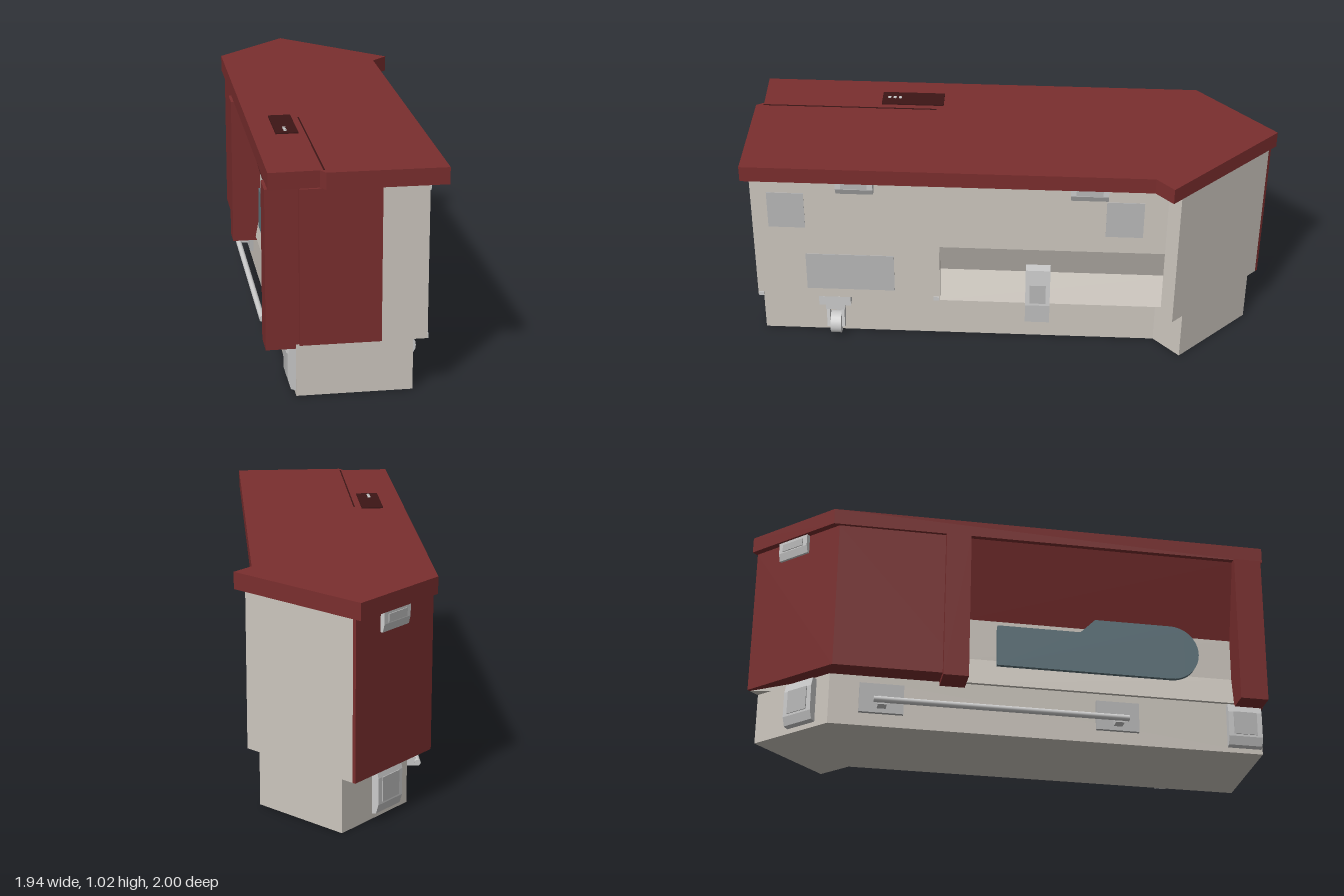
import * as THREE from 'three';

const mat = (color) => new THREE.MeshStandardMaterial({ color, side: THREE.DoubleSide });

export function createModel() {
  const model = new THREE.Group();
  const grey = mat(0xcccccc), wall = mat(0xccc6be), red = mat(0x7a2e2e);
  const darkRed = mat(0x3c1616), glass = mat(0x5f747c), white = mat(0xeeeeee), panelGrey = mat(0xb8b8b8);

  // The long run of the counter lies at 45 degrees: local x runs along it, local z faces its front.
  const run = new THREE.Group();
  run.name = 'counterRun';
  run.rotation.y = Math.PI / 4;
  model.add(run);

  const add = (parent, name, geometry, material) => {
    const mesh = new THREE.Mesh(geometry, material);
    mesh.name = name;
    parent.add(mesh);
    return mesh;
  };
  // Upright prism from a plan outline of [x, z] points
  const prism = (parent, name, plan, y0, y1, material) => {
    const shape = new THREE.Shape(plan.map(([x, z]) => new THREE.Vector2(x, -z)));
    const g = new THREE.ExtrudeGeometry(shape, { depth: y1 - y0, bevelEnabled: false });
    g.rotateX(-Math.PI / 2).translate(0, y0, 0);
    return add(parent, name, g, material);
  };
  // Cross-section of [z, y] points swept along the run from x0 to x1
  const section = (parent, name, profile, x0, x1, material) => {
    const shape = new THREE.Shape(profile.map(([z, y]) => new THREE.Vector2(-z, y)));
    const g = new THREE.ExtrudeGeometry(shape, { depth: x1 - x0, bevelEnabled: false });
    g.rotateY(Math.PI / 2).translate(x0, 0, 0);
    return add(parent, name, g, material);
  };
  // Box given by its limits
  const box = (parent, name, [x0, x1], [y0, y1], [z0, z1], material) => {
    const g = new THREE.BoxGeometry(x1 - x0, y1 - y0, z1 - z0);
    g.translate((x0 + x1) / 2, (y0 + y1) / 2, (z0 + z1) / 2);
    return add(parent, name, g, material);
  };
  const subgroup = (parent, name, x, z, turn) => {
    const g = new THREE.Group();
    g.name = name;
    g.position.set(x, 0, z);
    g.rotation.y = turn;
    parent.add(g);
    return g;
  };

  // Counter top and plinth
  prism(model, 'counterTop', [[0.47, -1], [0.97, -1], [0.97, -0.31], [0.86, -0.31],
    [-0.45, 1], [-0.82, 0.63], [-0.81, 0.59], [-0.97, 0.44]], 0.94, 1.015, red);
  prism(model, 'plinth', [[-0.52, 0.875], [-0.88, 0.515], [0.535, -0.9], [0.965, -0.9],
    [0.965, -0.44], [0.795, -0.44]], 0, 0.24, wall);

  // Main body, plain at one end and with a groove along the lower front at the other
  section(run, 'plainBody', [[-0.24, 0.24], [0.311, 0.24], [0.311, 0.94], [-0.24, 0.94]], -1, -0.14, wall);
  section(run, 'groovedBody', [[-0.24, 0.24], [0.311, 0.24], [0.25, 0.38], [0.311, 0.55],
    [0.311, 0.94], [-0.24, 0.94]], -0.14, 0.99, wall);

  // Angled wing with a red rear shell
  prism(model, 'wingBody', [[0.965, -0.37], [0.89, -0.37], [0.88, -0.44], [0.88, -0.56],
    [0.6, -0.7], [0.965, -0.955]], 0.24, 0.94, wall);
  prism(model, 'wingShell', [[0.965, -0.97], [0.461, -0.97], [0.032, -0.541],
    [0.11, -0.463], [0.5, -0.853], [0.965, -0.955]], 0.24, 0.94, red);

  // Red end panel and rear pilasters, which stand slightly proud of the counter edge
  box(run, 'endPanel', [-1.004, -0.9], [0.24, 0.94], [-0.245, 0.11], red);
  for (const [x0, x1] of [[-0.985, -0.855], [0.405, 0.52]])
    box(run, 'pilaster', [x0, x1], [0.22, 0.94], [-0.388, -0.235], red);

  // Rear bay: sloping red header, grey sill and a glass window with one round end
  section(run, 'rearHeader', [[-0.35, 0.94], [-0.25, 0.57], [-0.235, 0.57], [-0.235, 0.94]], -0.86, 0.41, red);
  section(run, 'rearSill', [[-0.25, 0.57], [-0.25, 0.37], [-0.275, 0.24], [-0.235, 0.24], [-0.235, 0.57]], -0.86, 0.41, wall);
  const pane = new THREE.Shape();
  pane.moveTo(0.26, 0.34);
  pane.lineTo(0.26, 0.54);
  pane.lineTo(-0.13, 0.54);
  pane.lineTo(-0.2, 0.61);
  pane.lineTo(-0.56, 0.61);
  pane.absarc(-0.56, 0.475, 0.135, Math.PI / 2, Math.PI * 1.5, false);
  const paneGeometry = new THREE.ExtrudeGeometry(pane, { depth: 0.03, bevelEnabled: false });
  add(run, 'rearWindow', paneGeometry.translate(0, 0, -0.275), glass);

  // Front panels and screw heads
  for (const [x0, x1, y0, y1] of [[-0.926, -0.757, 0.64, 0.83], [0.62, 0.79, 0.64, 0.83], [-0.764, -0.353, 0.29, 0.49]])
    box(run, 'frontPanel', [x0, x1], [y0, y1], [0.305, 0.314], panelGrey);
  for (const x of [-0.985, -0.158])
    for (const y of [0.25, 0.92])
      box(run, 'screwHead', [x - 0.012, x + 0.012], [y - 0.01, y + 0.01], [0.305, 0.316], grey);

  // Lamps under the counter edge
  const lamp = (parent, x, z, turn, depth) => {
    const g = subgroup(parent, 'edgeLamp', x, z, turn);
    section(g, 'lampBody', [[0, 0.85], [depth * 0.6, 0.85], [depth, 0.885], [depth, 0.94], [0, 0.94]], -0.085, 0.085, grey);
    box(g, 'lampLens', [-0.06, 0.06], [0.89, 0.925], [depth - 0.01, depth + 0.004], panelGrey);
  };
  lamp(run, -0.52, 0.308, 0, 0.045);
  lamp(run, 0.54, 0.308, 0, 0.045);
  lamp(model, 0.725, -0.968, Math.PI, 0.022);

  // Latch box across the groove
  section(run, 'latchBox', [[0.22, 0.13], [0.315, 0.13], [0.33, 0.24], [0.318, 0.435], [0.22, 0.435]], 0.26, 0.375, grey);
  box(run, 'latchPlate', [0.28, 0.355], [0.255, 0.36], [0.3, 0.334], panelGrey);

  // Front caster fixed to the plinth
  const caster = subgroup(run, 'caster', -0.64, 0.255, 0);
  box(caster, 'mountPlate', [-0.075, 0.075], [0.185, 0.235], [-0.01, 0.05], grey);
  box(caster, 'swivel', [-0.045, 0.045], [0.155, 0.19], [-0.01, 0.045], grey);
  for (const s of [-1, 1])
    section(caster, 'fork', [[-0.01, 0.16], [0.04, 0.16], [0.055, 0.06], [0.02, 0.04]], s * 0.035 - 0.007, s * 0.035 + 0.007, grey);
  const wheel = add(caster, 'wheel', new THREE.CylinderGeometry(0.055, 0.055, 0.05, 20), grey);
  wheel.rotation.z = Math.PI / 2;
  wheel.position.set(0, 0.065, 0.02);

  // Shallow rear boxes on the plinth with an inset plate
  const rearBox = (parent, x, z, turn) => {
    const g = subgroup(parent, 'rearBox', x, z, turn);
    section(g, 'boxBody', [[-0.01, 0.02], [0.022, 0.03], [0.034, 0.07], [0.034, 0.19], [0.025, 0.23], [-0.01, 0.23]], -0.08, 0.08, grey);
    box(g, 'boxPlate', [-0.055, 0.055], [0.08, 0.19], [0.02, 0.038], panelGrey);
  };
  rearBox(run, -0.9, -0.258, Math.PI);
  rearBox(model, 0.69, -0.9, Math.PI);

  // Foot rail at the rear with its brackets
  for (const x of [0.78, -0.3]) {
    box(run, 'railPlate', [x - 0.1, x + 0.1], [0.06, 0.2], [-0.275, -0.25], panelGrey);
    box(run, 'railArm', [x - 0.02, x + 0.02], [0.08, 0.12], [-0.325, -0.26], grey);
  }
  const rail = add(run, 'footRail', new THREE.CylinderGeometry(0.014, 0.014, 1.16, 12), grey);
  rail.rotation.z = Math.PI / 2;
  rail.position.set(0.24, 0.1, -0.33);

  // Control plate on the counter top, with three lights and a ledge line
  box(run, 'controlPlate', [-0.438, -0.148], [1.0, 1.021], [-0.272, -0.17], darkRed);
  for (let i = 0; i < 3; i++) {
    const light = add(run, 'indicatorLight', new THREE.CylinderGeometry(0.008, 0.008, 0.006, 10), white);
    light.position.set(-0.405 + i * 0.025, 1.021, -0.225);
  }
  box(run, 'ledgeLine', [-0.99, -0.18], [1.005, 1.017], [-0.14, -0.134], darkRed);

  return model;
}
